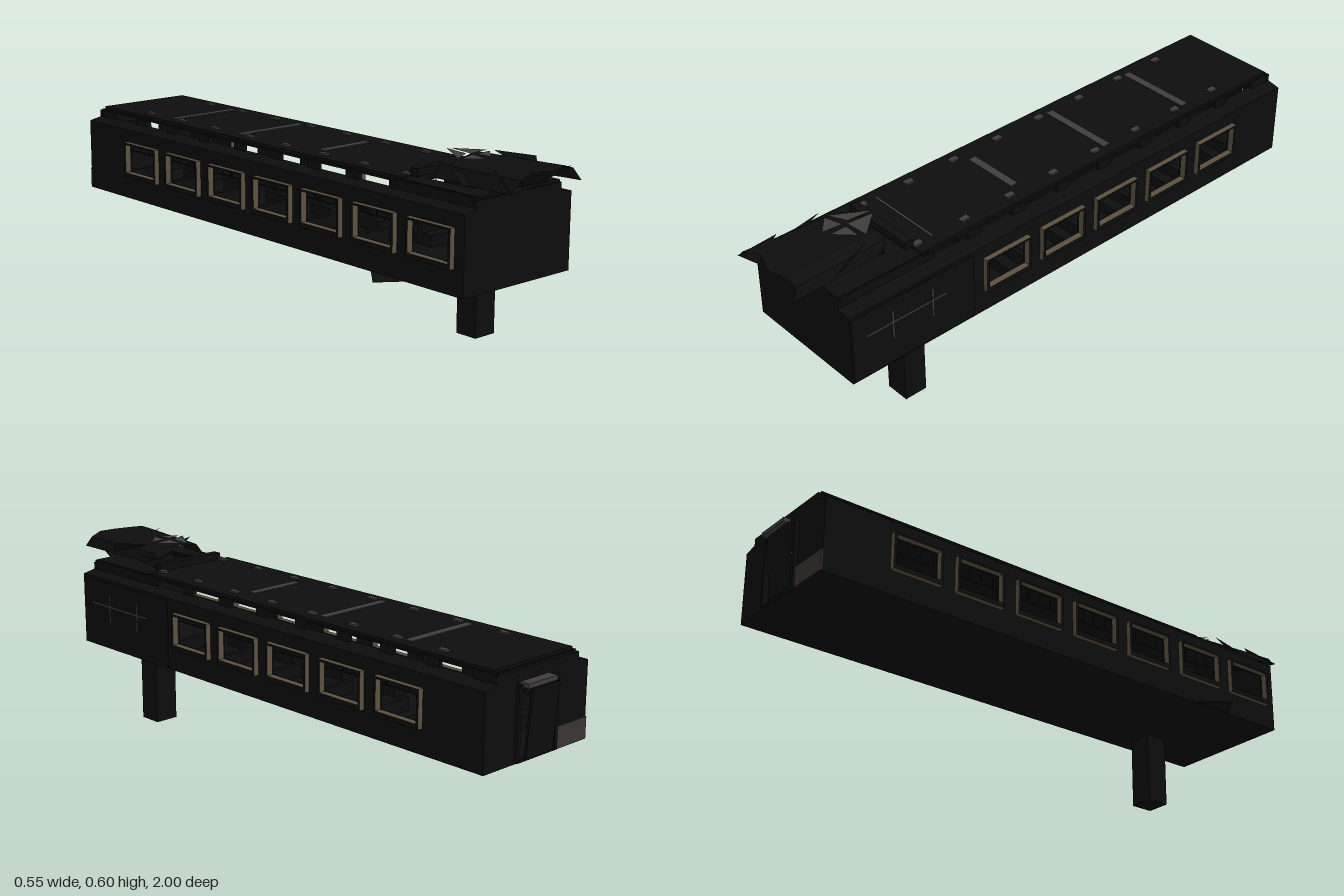
import * as THREE from 'three';

export function createModel() {
  const model = new THREE.Group();
  model.name = 'wreckedCarriage';
  const mat = (name, color, side = THREE.FrontSide) => {
    const m = new THREE.MeshStandardMaterial({ color, side });
    m.name = name;
    return m;
  };
  const soot = mat('sootBlack', 0x0d0d0d, THREE.DoubleSide);
  const brass = mat('dullBrass', 0x5c5140);
  const grey = mat('ashGrey', 0x403c3c, THREE.DoubleSide);
  const rust = mat('fadedBrown', 0x3a3331);
  const CX = 0.0315; // centre line of the carriage body

  const add = (name, geo, material, parent = model) => {
    const m = new THREE.Mesh(geo, material);
    m.name = name;
    parent.add(m);
    return m;
  };
  // box given by its limits on each axis
  const box = (name, x0, x1, y0, y1, z0, z1, material = soot, parent = model) => {
    const m = add(name, new THREE.BoxGeometry(x1 - x0, y1 - y0, z1 - z0), material, parent);
    m.position.set((x0 + x1) / 2, (y0 + y1) / 2, (z0 + z1) / 2);
    return m;
  };
  const poly = (pts) => new THREE.Shape(pts.map(([a, b]) => new THREE.Vector2(a, b)));
  const rect = (a0, a1, b0, b1) => poly([[a0, b0], [a1, b0], [a1, b1], [a0, b1]]);
  const extrude = (shape, depth) => new THREE.ExtrudeGeometry(shape, { depth, bevelEnabled: false });
  // plate lying in the side plane; its outline is given in (-z, y)
  const sidePlate = (name, shape, x, depth, material) => {
    const m = add(name, extrude(shape, depth).rotateY(Math.PI / 2), material);
    m.position.x = x;
    return m;
  };
  const triangles = (name, coords, material) => {
    const g = new THREE.BufferGeometry();
    g.setAttribute('position', new THREE.Float32BufferAttribute(coords, 3));
    g.computeVertexNormals();
    return add(name, g, material);
  };

  // Floor and the single remaining support
  box('floor', -0.195, 0.258, 0.245, 0.258, -0.965, 0.885);
  box('supportPost', 0.112, 0.196, 0.003, 0.25, 0.57, 0.65);

  // Side walls with window openings and projecting frames
  const windowZ = [-0.645, -0.41, -0.175, 0.058, 0.29, 0.525, 0.757];
  for (const side of [1, -1]) {
    const zs = side > 0 ? windowZ.slice(0, 5) : windowZ;
    const wall = rect(-0.885, 0.965, 0.245, 0.49);
    for (const z of zs) wall.holes.push(rect(-z - 0.082, -z + 0.082, 0.34, 0.44));
    sidePlate('sideWall', wall, side > 0 ? 0.248 : -0.195, 0.01, soot);
    for (const z of zs) {
      const frame = rect(-z - 0.09, -z + 0.09, 0.325, 0.447);
      frame.holes.push(rect(-z - 0.081, -z + 0.081, 0.341, 0.44));
      sidePlate('windowFrame', frame, side > 0 ? 0.256 : -0.213, 0.02, [soot, brass]);
    }
    // luggage rail seen behind the windows
    const x = side > 0 ? 0.225 : -0.165;
    box('luggageRail', x - 0.003, x + 0.003, 0.407, 0.412, -0.95, 0.6);
    for (let i = 0; i < 34; i++) {
      const z = -0.93 + i * 0.046;
      box('railHanger', x - 0.001, x + 0.001, 0.41, 0.445, z, z + 0.003);
    }
    // rows of benches below the sills
    for (let i = 0; i < 6; i++) {
      const z = -0.76 + i * 0.235, x0 = side > 0 ? 0.1 : -0.18;
      box('benchSeat', x0, x0 + 0.14, 0.258, 0.295, z - 0.05, z + 0.05);
      box('benchBack', x0, x0 + 0.14, 0.29, 0.338, z - 0.01, z + 0.01);
    }
  }

  // Blind panel with broken glazing bars at the front of one side
  box('sidePanel', 0.256, 0.261, 0.25, 0.48, 0.42, 0.88);
  for (const z of [0.58, 0.73]) box('glazingBar', 0.258, 0.263, 0.34, 0.44, z, z + 0.005, grey);
  box('glazingBar', 0.258, 0.263, 0.395, 0.4, 0.53, 0.83, grey);

  // Closed front end, with the cross-section of the roof
  const end = poly([[-0.195, 0.245], [0.258, 0.245], [0.258, 0.49], [0.212, 0.499],
    [0.212, 0.523], [-0.15, 0.523], [-0.15, 0.499], [-0.195, 0.49]]);
  add('frontWall', extrude(end, 0.012), soot).position.z = 0.873;

  // Back end with doorway, lintel and leaning door
  const back = end.clone();
  back.holes.push(rect(-0.04, 0.115, 0.258, 0.468));
  add('backWall', extrude(back, 0.012), soot).position.z = -0.967;
  const surround = rect(-0.052, 0.127, 0.25, 0.482);
  surround.holes.push(rect(-0.04, 0.115, 0.251, 0.468));
  add('doorSurround', extrude(surround, 0.012), soot).position.z = -0.979;
  box('doorLintel', -0.015, 0.112, 0.474, 0.488, -1, -0.965, grey);
  const door = box('leaningDoor', -0.035, 0.085, 0.25, 0.465, -0.985, -0.977);
  door.rotation.x = -0.09;
  box('kickPanel', -0.195, -0.045, 0.246, 0.315, -0.971, -0.966, rust);

  // Sloping shoulders either side of the raised roof
  const shoulder = [[0.258, 0.484], [0.258, 0.49], [0.212, 0.499], [0.195, 0.499], [0.195, 0.492]];
  for (const side of [1, -1]) {
    const pts = shoulder.map(([x, y]) => [CX + side * (x - CX), y]);
    add('roofShoulder', extrude(poly(pts), 1.85), soot).position.z = -0.965;
  }

  // Raised roof carried on short posts
  box('roofEdge', -0.15, 0.212, 0.522, 0.528, -0.955, 0.57);
  box('roofTop', -0.14, 0.205, 0.527, 0.537, -0.95, 0.575);
  for (const side of [1, -1]) {
    const at = (d) => CX + side * d;
    const strip = (name, d0, d1, ...rest) =>
      box(name, Math.min(at(d0), at(d1)), Math.max(at(d0), at(d1)), ...rest);
    for (let i = 0; i < 8; i++) {
      const z = 0.555 - i * 0.183;
      strip('roofPost', 0.165, 0.178, 0.496, 0.524, z - 0.026, z + 0.026);
      strip('roofVent', 0.122, 0.142, 0.536, 0.543, z - 0.016, z + 0.016, grey);
    }
    strip('rearRoofPost', 0.165, 0.178, 0.496, 0.524, -0.96, -0.88);
    strip('frontRoofSide', 0.165, 0.178, 0.496, 0.53, 0.55, 0.88);
  }
  // Pale bands across the roof
  for (const [z, half] of [[-0.59, 0.135], [-0.228, 0.135], [0.14, 0.1]]) {
    box('roofBand', CX - half, CX + half, 0.536, 0.54, z - 0.014, z + 0.014, grey);
  }
  box('roofBand', CX - 0.135, CX + 0.135, 0.536, 0.539, 0.495, 0.501, grey);

  // Torn front roof around a ragged hole
  const torn = rect(-0.14, 0.205, -0.88, -0.57);
  torn.holes.push(poly([[-0.08, -0.62], [0.03, -0.6], [0.13, -0.65], [0.1, -0.78], [0.02, -0.75], [-0.07, -0.8]]));
  const tornRoof = add('tornRoof', extrude(torn, 0.008).rotateX(-Math.PI / 2), soot);
  tornRoof.position.y = 0.524;
  box('brokenRib', -0.1, 0.165, 0.536, 0.56, 0.57, 0.6);

  // Curled roof sheet peeled up over the front end
  const across = [[-0.12, 0.552], [-0.09, 0.59], [-0.03, 0.6], [0.04, 0.598], [0.11, 0.603], [0.15, 0.59], [0.162, 0.555]];
  const sheet = new THREE.PlaneGeometry(1, 1, 6, 6);
  const p = sheet.attributes.position;
  for (let j = 0; j <= 6; j++) {
    for (let i = 0; i <= 6; i++) {
      const [x, y] = across[i];
      const ragged = j === 6 || j === 0 ? 0.015 * Math.sin(i * 2.4) : 0;
      const narrow = 0.82 + 0.03 * j;
      p.setXYZ(j * 7 + i, CX + (x - CX) * narrow, y - (6 - j) * 0.0015, 0.65 + j * 0.056 + ragged);
    }
  }
  sheet.computeVertexNormals();
  add('curledRoofSheet', sheet.toNonIndexed(), soot).geometry.computeVertexNormals();
  triangles('tornFlaps', [
    -0.09, 0.595, 0.72, -0.123, 0.55, 0.8, -0.085, 0.54, 0.85,
    -0.08, 0.602, 0.88, -0.125, 0.555, 0.99, -0.05, 0.555, 0.97,
    0.12, 0.602, 0.7, 0.171, 0.597, 0.82, 0.14, 0.54, 0.86,
    -0.08, 0.53, 0.86, 0.15, 0.53, 0.87, 0.15, 0.595, 0.97,
    -0.08, 0.53, 0.86, 0.15, 0.595, 0.97, -0.08, 0.59, 0.97,
  ], soot);
  triangles('exposedLining', [
    0.02, 0.606, 0.6, -0.055, 0.604, 0.72, 0.01, 0.605, 0.69,
    0.03, 0.606, 0.61, 0.02, 0.605, 0.7, 0.1, 0.604, 0.69,
    -0.05, 0.604, 0.73, 0.005, 0.604, 0.78, 0.015, 0.605, 0.71,
    0.03, 0.605, 0.71, 0.03, 0.605, 0.77, 0.09, 0.605, 0.71,
  ], grey);

  // Bent floor plate sticking out at the side, and a small splinter opposite
  triangles('bentFloorPlate', [-0.276, 0.247, 0.6, -0.19, 0.247, 0.66, -0.19, 0.247, 0.5], soot);
  triangles('sideSplinter', [0.256, 0.295, 0.42, 0.265, 0.27, 0.44, 0.256, 0.25, 0.4], soot);

  return model;
}
